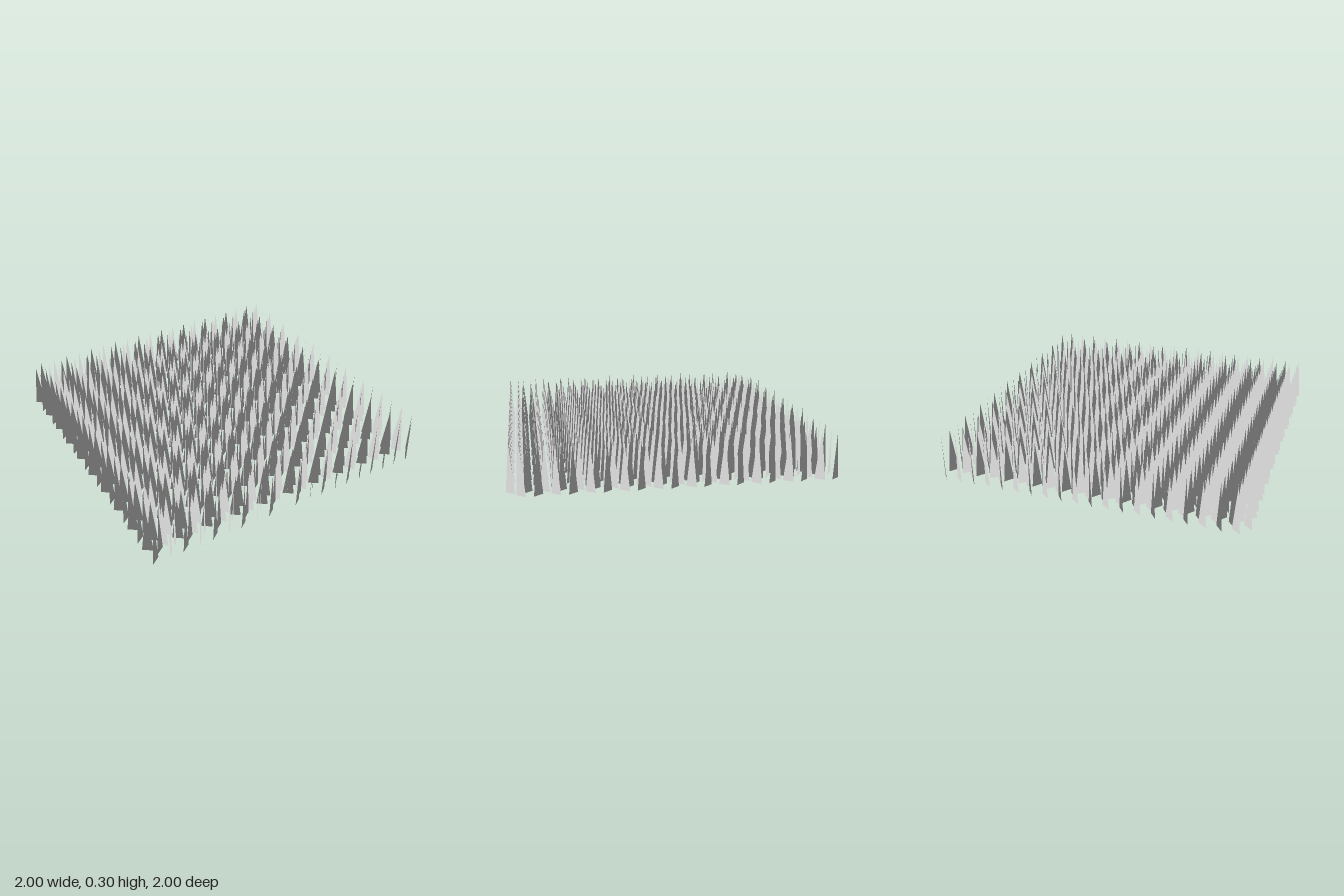
import * as THREE from 'three';
import { mergeGeometries } from 'three/addons/utils/BufferGeometryUtils.js';

const COUNT = 20, PITCH = 0.0995, OFFSET = 0.03, HEIGHT = 0.3;

// One flat upright blade at (x, z) with its base along (dx, dz).
// Grass is lit like the ground: its normals point up, with a hair of lean in z.
function blade(x, z, dx, dz, lean) {
  const g = new THREE.BufferGeometry();
  g.setAttribute('position', new THREE.Float32BufferAttribute([
    x - dx, 0, z - dz,
    x + dx, 0, z + dz,
    x, HEIGHT, z,
  ], 3));
  const normal = [0, 1, lean];
  g.setAttribute('normal', new THREE.Float32BufferAttribute([...normal, ...normal, ...normal], 3));
  return g;
}

// A tuft is two parallel blades on opposite corners of its cell
function tuft(dx, dz, lean) {
  return mergeGeometries([
    blade(-OFFSET, OFFSET, dx, dz, lean),
    blade(OFFSET, -OFFSET, dx, dz, lean),
  ]);
}

export function createModel() {
  const model = new THREE.Group();
  model.name = 'grassPatch';
  const material = new THREE.MeshStandardMaterial({ color: 0xcccccc, side: THREE.DoubleSide });

  // Columns alternate between blades wide in x and wide in z;
  // within a column the rows alternate between the two diagonals
  const tufts = [
    [tuft(0.028, 0.021, -0.01), tuft(0.028, -0.021, -0.01)],
    [tuft(0.021, 0.027, 0.01), tuft(0.021, -0.027, 0.01)],
  ];

  // Square field of tufts
  const middle = (COUNT - 1) / 2;
  for (let i = 0; i < COUNT; i++) {
    const column = new THREE.Group();
    column.name = 'grassColumn';
    for (let j = 0; j < COUNT; j++) {
      const mesh = new THREE.Mesh(tufts[i % 2][j % 2], material);
      mesh.name = 'grassTuft';
      mesh.position.set((i - middle) * PITCH + 0.003, 0, (j - middle) * PITCH);
      column.add(mesh);
    }
    model.add(column);
  }
  return model;
}
